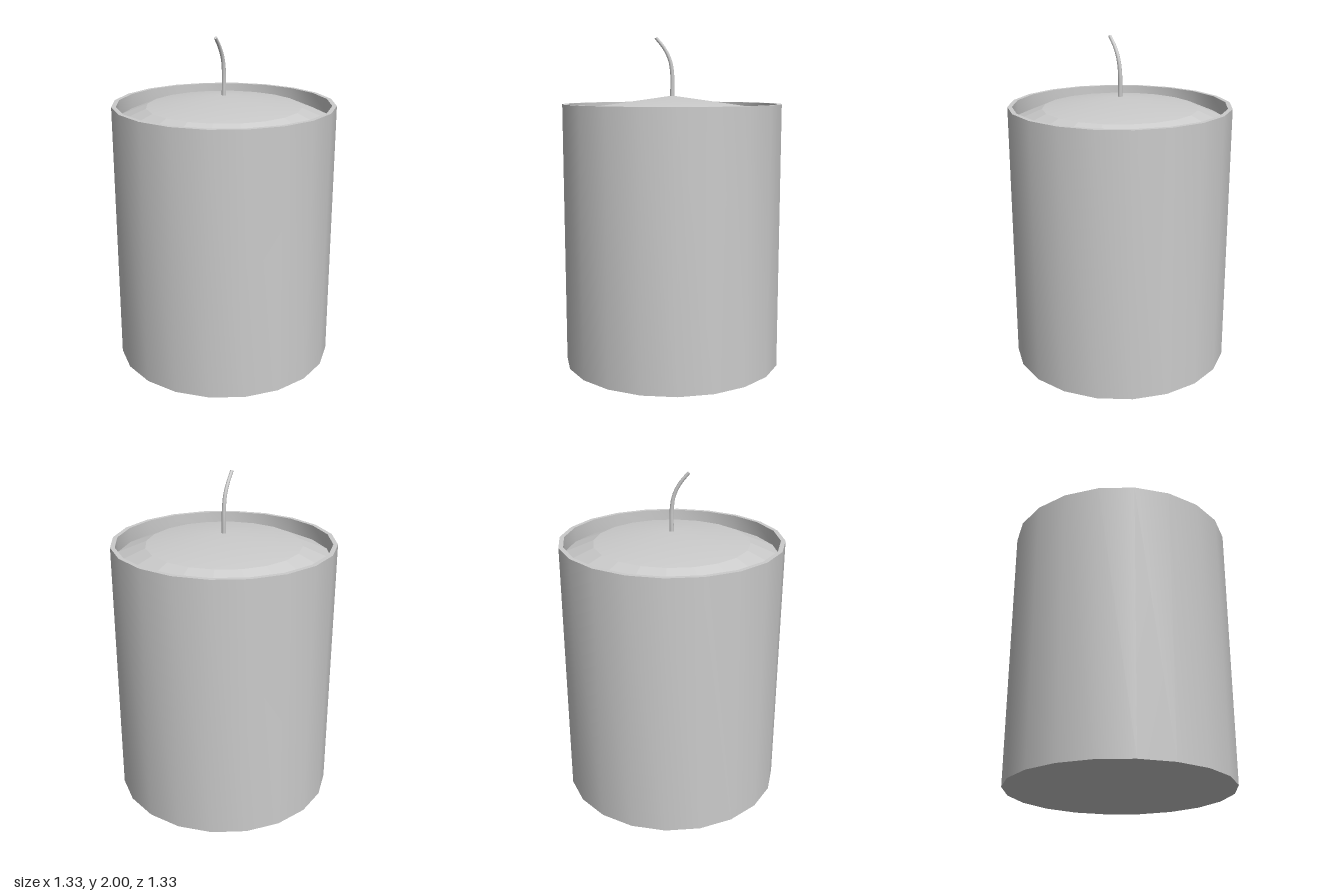
import * as THREE from 'three';
import { toCreasedNormals } from 'three/addons/utils/BufferGeometryUtils.js';

const SIDES = 20;

// Revolve a [radius, height] profile, keeping sharp corners sharp
function revolve(name, profile, options = {}) {
  const points = profile.map(([r, y]) => new THREE.Vector2(r, y));
  const geometry = toCreasedNormals(new THREE.LatheGeometry(points, SIDES), Math.PI / 6);
  const mesh = new THREE.Mesh(geometry, new THREE.MeshStandardMaterial({ color: 0xcccccc, ...options }));
  mesh.name = name;
  return mesh;
}

// Curved wick that thins towards its tip
function makeWick() {
  const segments = 16, sides = 10, radius = 0.014;
  const path = new THREE.CatmullRomCurve3([
    [0, 1.63, 0], [0, 1.78, 0], [-0.012, 1.865, 0.008], [-0.042, 1.935, 0.026], [-0.083, 1.995, 0.052],
  ].map((p) => new THREE.Vector3(...p)));
  const material = new THREE.MeshStandardMaterial({ color: 0xcccccc });
  const taper = (t) => 1 - 0.3 * t;

  const tube = new THREE.TubeGeometry(path, segments, radius, sides);
  const position = tube.attributes.position;
  const vertex = new THREE.Vector3();
  for (let i = 0; i < position.count; i++) {
    const t = Math.floor(i / (sides + 1)) / segments;
    const centre = path.getPointAt(t);
    vertex.fromBufferAttribute(position, i).sub(centre).multiplyScalar(taper(t)).add(centre);
    position.setXYZ(i, vertex.x, vertex.y, vertex.z);
  }

  const stem = new THREE.Mesh(tube, material);
  stem.name = 'wickStem';
  const tip = new THREE.Mesh(new THREE.CircleGeometry(radius * taper(1), sides), material);
  tip.name = 'wickTip';
  tip.position.copy(path.getPointAt(1));
  tip.quaternion.setFromUnitVectors(new THREE.Vector3(0, 0, 1), path.getTangentAt(1));

  const wick = new THREE.Group();
  wick.name = 'wick';
  wick.add(stem, tip);
  return wick;
}

export function createModel() {
  const candle = new THREE.Group();
  candle.name = 'candle';
  candle.add(
    // Outer body with base, rim and inner wall
    revolve('body', [[0, 0], [0.667, 0], [0.667, 1.6], [0.64, 1.6], [0.64, 1.51]]),
    // Sloping ring between the wall and the wax dome
    revolve('waxSlope', [[0.64, 1.51], [0.465, 1.584]], { flatShading: true }),
    // Shallow cone of wax around the wick
    revolve('waxTop', [[0.465, 1.584], [0, 1.65]]),
    makeWick(),
  );
  return candle;
}
